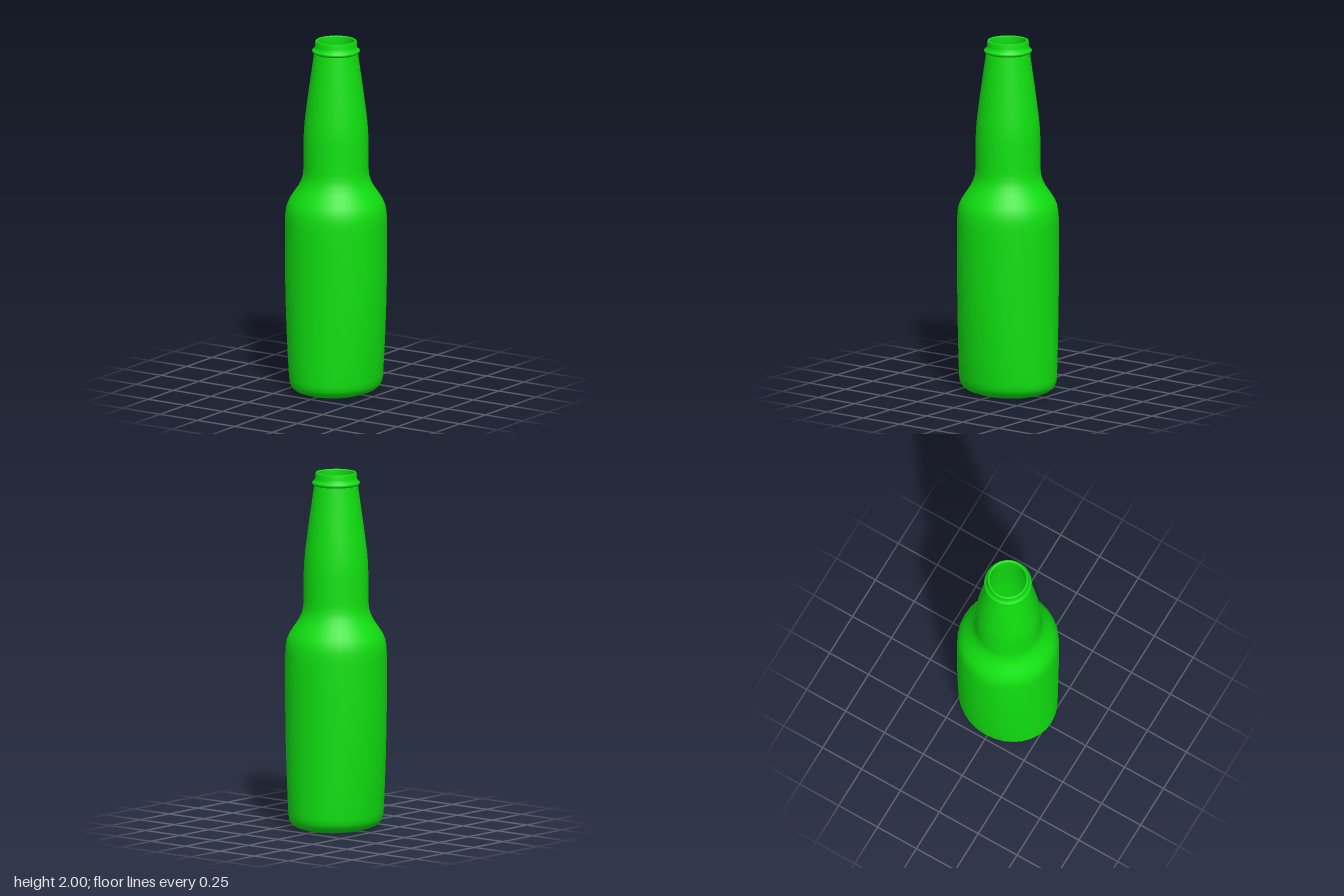
import * as THREE from 'three';
import { mergeVertices } from 'three/addons/utils/BufferGeometryUtils.js';

const SEGMENTS = 32;
const WALL = 0.016;

// Outer profile as [radius, height], from the base edge up to the lip
const OUTER = [
  [0.19, 0], [0.215, 0.008], [0.245, 0.018], [0.267, 0.035], [0.279, 0.058], [0.283, 0.09],
  [0.283, 0.2], [0.283, 0.32], [0.283, 0.44], [0.283, 0.56], [0.283, 0.68], [0.283, 0.8],
  [0.283, 0.97], [0.281, 1.02], [0.274, 1.06], [0.259, 1.095], [0.236, 1.13], [0.212, 1.165],
  [0.194, 1.2], [0.184, 1.235], [0.18, 1.28], [0.18, 1.43], [0.178, 1.49], [0.172, 1.56],
  [0.15, 1.73], [0.13, 1.87], [0.122, 1.928],
];
// Raised ring under the mouth, then the lip
const RING_AND_LIP = [
  [0.128, 1.932], [0.133, 1.939], [0.132, 1.946], [0.124, 1.953], [0.118, 1.96],
  [0.116, 1.975], [0.115, 1.996], [0.112, 2], [0.104, 2], [0.102, 1.996],
];

// The lower body narrows from side to side only
function narrowSides(geometry) {
  const pos = geometry.attributes.position;
  for (let i = 0; i < pos.count; i++) {
    const t = Math.max(0, (0.75 - pos.getY(i)) / 0.68);
    pos.setX(i, pos.getX(i) * (1 - 0.12 * Math.min(1, t) ** 1.8));
  }
}

// Smooth lathe with its seam welded
function lathe(points) {
  let geometry = new THREE.LatheGeometry(points.map(([r, y]) => new THREE.Vector2(r, y)), SEGMENTS);
  narrowSides(geometry);
  geometry.deleteAttribute('uv');
  geometry.deleteAttribute('normal');
  geometry = mergeVertices(geometry, 1e-5);
  geometry.computeVertexNormals();
  return geometry;
}

export function createModel() {
  const group = new THREE.Group();
  group.name = 'bottle';
  const glass = new THREE.MeshStandardMaterial({ color: 0x10e010, side: THREE.DoubleSide });
  const add = (name, points) => {
    const mesh = new THREE.Mesh(lathe(points), glass);
    mesh.name = name;
    group.add(mesh);
  };

  // Flat base, body, shoulder and neck in one skin
  add('bottleBody', [[0, 0], [0.12, 0], ...OUTER]);
  add('mouthRing', [OUTER[OUTER.length - 1], ...RING_AND_LIP]);

  // Inner wall follows the outer profile down to the inside floor
  const inner = OUTER.map(([r, y]) => [r - WALL, Math.max(y, WALL + y * 0.9)]).reverse();
  add('innerWall', [[0.102, 1.996], [0.102, 1.96], ...inner, [0, WALL]]);
  return group;
}
